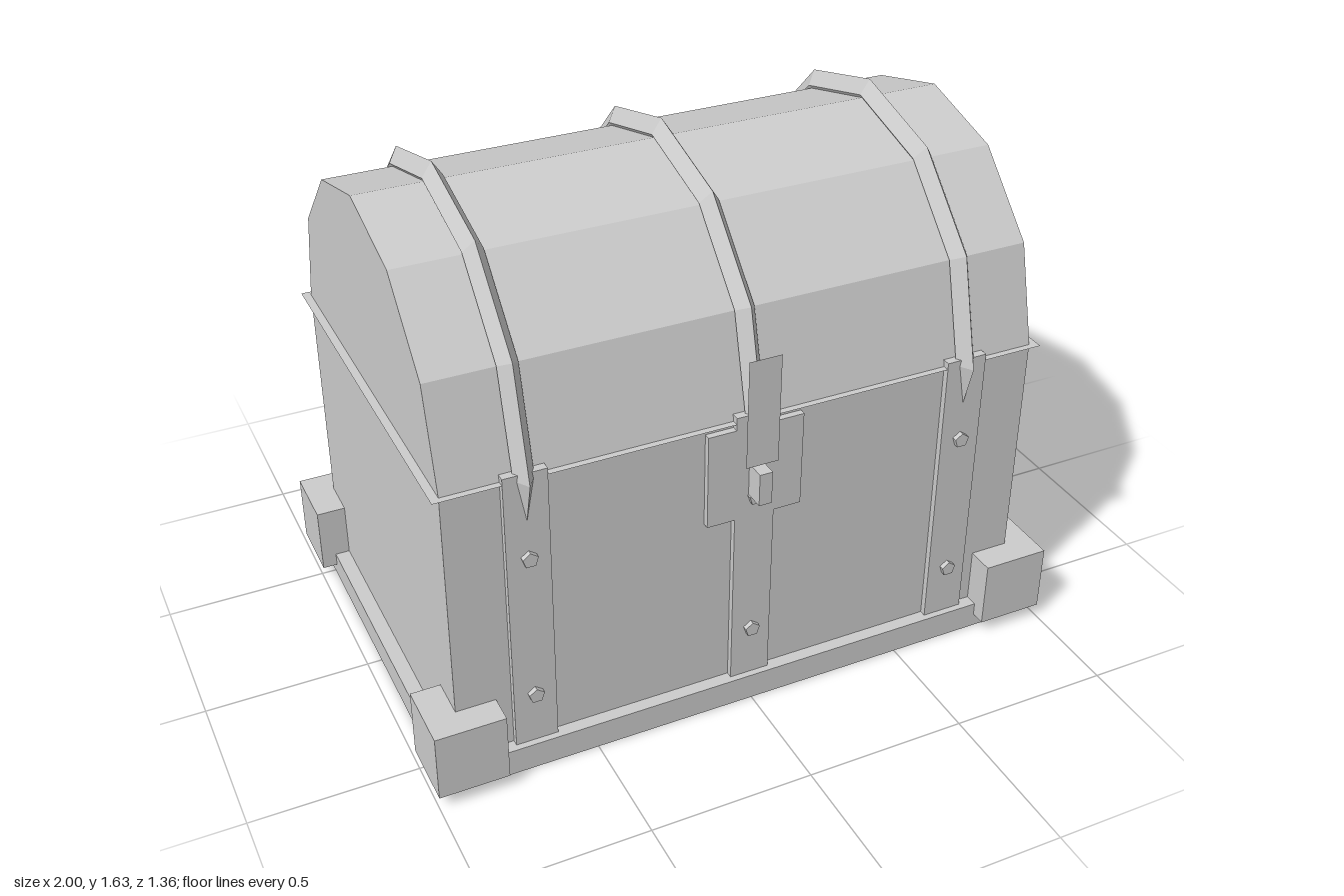
import * as THREE from 'three';

export function createModel() {
  const group = new THREE.Group();
  group.name = 'chest';
  const grey = new THREE.MeshStandardMaterial({ color: 0xcccccc, flatShading: true, side: THREE.DoubleSide });
  grey.name = 'grey';

  const add = (name, geometry, x = 0, y = 0, z = 0) => {
    const mesh = new THREE.Mesh(geometry, grey);
    mesh.name = name;
    mesh.position.set(x, y, z);
    group.add(mesh);
    return mesh;
  };
  // Box given by its minimum and maximum corners
  const box = (name, [x0, y0, z0], [x1, y1, z1]) =>
    add(name, new THREE.BoxGeometry(x1 - x0, y1 - y0, z1 - z0), (x0 + x1) / 2, (y0 + y1) / 2, (z0 + z1) / 2);

  const seam = 0.98, lidRadius = 0.595, halfWidth = 0.91, strapFront = 0.615;

  // Base board and body
  box('base', [-0.955, 0, -0.635], [0.955, 0.085, 0.635]);
  box('body', [-halfWidth, 0.085, -lidRadius], [halfWidth, seam, lidRadius]);

  // Six-sided arched lid
  const arch = new THREE.Shape();
  for (let i = 0; i <= 6; i++) {
    const a = (i * Math.PI) / 6;
    const x = lidRadius * Math.cos(a), y = lidRadius * Math.sin(a);
    if (i === 0) arch.moveTo(x, y);
    else arch.lineTo(x, y);
  }
  const lid = new THREE.ExtrudeGeometry(arch, { depth: 2 * halfWidth, bevelEnabled: false });
  lid.translate(0, 0, -halfWidth).rotateY(Math.PI / 2);
  add('lid', lid, 0, seam, 0);

  // Paper-thin rim between body and lid
  add('rim', new THREE.PlaneGeometry(1.87, 1.23).rotateX(-Math.PI / 2), 0, seam, 0);

  // Ridged lid bands, vertical straps and rivets
  const band = new THREE.TorusGeometry(0.605, 0.045, 4, 12).rotateY(Math.PI / 2).scale(0.67, 1, 1);
  // The scale above only narrows the ridge across x
  const rivet = new THREE.CylinderGeometry(0.024, 0.024, 0.03, 5).rotateX(Math.PI / 2).rotateZ(Math.PI);
  for (const x of [-0.68, 0, 0.68]) {
    add('lidBand', band, x, seam, 0);
    box('backStrap', [x - 0.064, 0.085, -strapFront], [x + 0.064, 1, -0.58]);
    if (x !== 0) box('frontStrap', [x - 0.064, 0.085, 0.58], [x + 0.064, 1, strapFront]);
    for (const y of [0.255, 0.728]) add('rivet', rivet, x, y, strapFront);
  }

  // Middle front strap widened into a lock plate
  const half = [[0.062, 0.085], [0.062, 0.66], [0.148, 0.66], [0.148, 0.96], [0.062, 0.96], [0.062, 1]];
  const outline = [...half, ...half.map(([x, y]) => [-x, y]).reverse()];
  const lockShape = new THREE.Shape(outline.map(([x, y]) => new THREE.Vector2(x, y)));
  add('lockPlate', new THREE.ExtrudeGeometry(lockShape, { depth: 0.03, bevelEnabled: false }), 0, 0, strapFront - 0.03);

  // Flat hasp and the staple below it
  add('hasp', new THREE.PlaneGeometry(0.1, 0.34), 0, 1.025, 0.653);
  box('staple', [-0.02, 0.737, 0.6], [0.02, 0.84, 0.678]);

  // Corner feet
  for (const sx of [-1, 1]) {
    for (const sz of [-1, 1]) {
      add('cornerFoot', new THREE.BoxGeometry(0.21, 0.213, 0.21), sx * 0.895, 0.15, sz * 0.575);
    }
  }
  return group;
}
